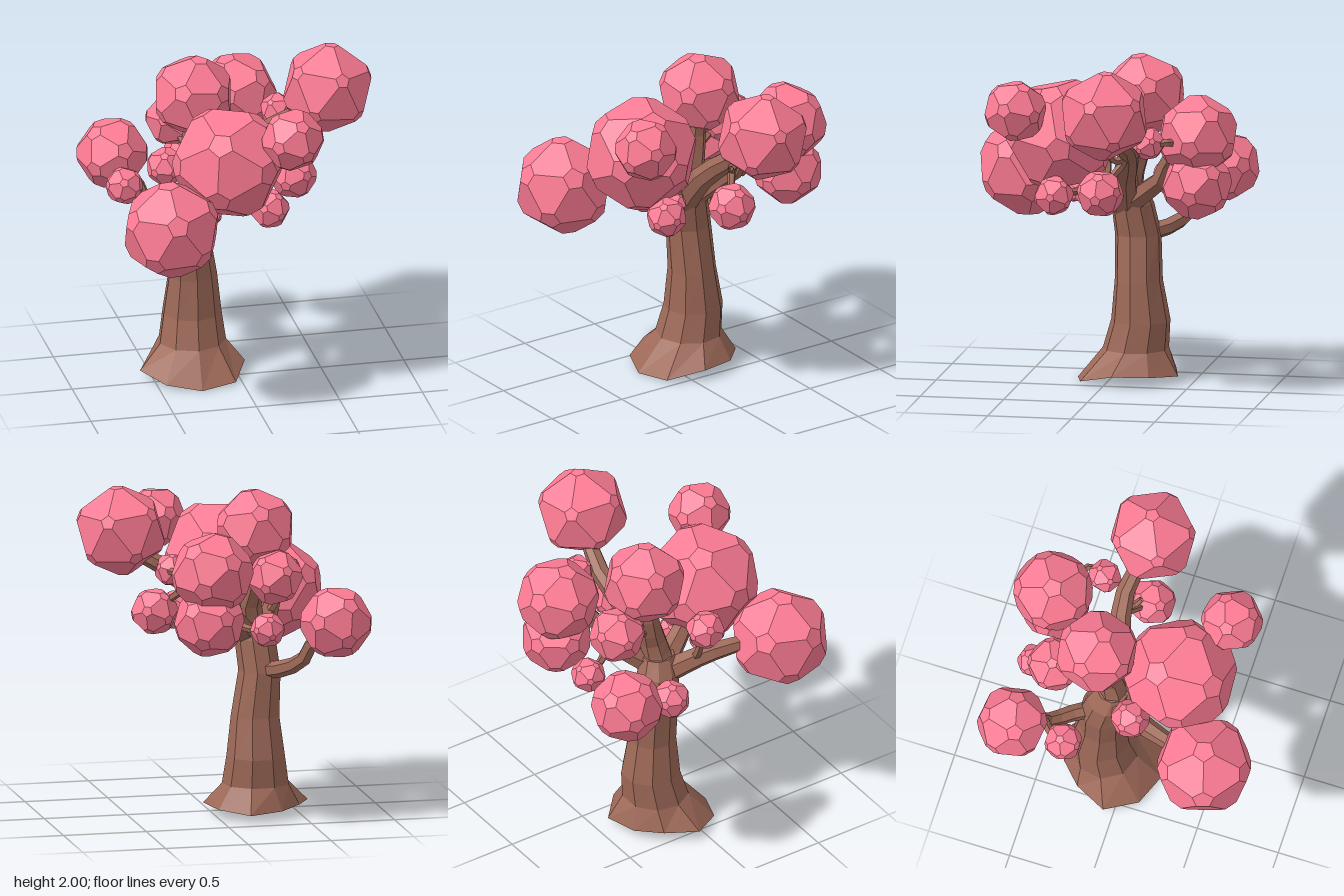
import * as THREE from 'three';
import { ConvexGeometry } from 'three/addons/geometries/ConvexGeometry.js';

const bark = new THREE.MeshStandardMaterial({ color: 0x9e6958, flatShading: true, side: THREE.DoubleSide });
const pink = new THREE.MeshStandardMaterial({ color: 0xff7c95, flatShading: true });

let seed = 7;
const rnd = () => (seed = (seed * 16807) % 2147483647) / 2147483647;

// Truncated icosahedron: each edge gives two corners, 'cut' along from its ends
function clumpGeometry(cut) {
  const g = (1 + Math.sqrt(5)) / 2;
  const ico = [];
  for (const a of [-1, 1]) for (const b of [-g, g]) {
    ico.push(new THREE.Vector3(0, a, b), new THREE.Vector3(a, b, 0), new THREE.Vector3(b, 0, a));
  }
  const pts = [];
  for (const p of ico) for (const q of ico) {
    if (p !== q && p.distanceTo(q) < 2.1) pts.push(p.clone().lerp(q, cut).normalize());
  }
  return new ConvexGeometry(pts);
}

// Faceted branch tapering from r0 to r1 along a curve
function branch(name, points, r0, r1, sides = 6) {
  const curve = new THREE.CatmullRomCurve3(points.map(p => new THREE.Vector3(...p)));
  const steps = points.length + 2;
  const geo = new THREE.TubeGeometry(curve, steps, 1, sides, false);
  const pos = geo.attributes.position;
  const v = new THREE.Vector3();
  for (let i = 0; i < pos.count; i++) {
    const t = Math.floor(i / (sides + 1)) / steps;
    const c = curve.getPointAt(t);
    v.fromBufferAttribute(pos, i).sub(c).multiplyScalar(THREE.MathUtils.lerp(r0, r1, t)).add(c);
    pos.setXYZ(i, v.x, v.y, v.z);
  }
  geo.computeVertexNormals();
  const mesh = new THREE.Mesh(geo, bark);
  mesh.name = name;
  return mesh;
}

// Nine-sided trunk with a flared, uneven foot; rows are [y, centre x, centre z, radius x, radius z]
function makeTrunk() {
  const rows = [
    [0.035, -0.26, -0.115, 0.31, 0.315],
    [0.19, -0.245, -0.15, 0.2, 0.195],
    [0.36, -0.24, -0.18, 0.175, 0.175],
    [0.6, -0.238, -0.168, 0.145, 0.142],
    [0.87, -0.265, -0.16, 0.125, 0.138],
    [1.06, -0.245, -0.13, 0.123, 0.127],
    [1.16, -0.22, -0.11, 0.09, 0.1],
  ];
  // Reach and lift of each root, counted from the front round through the left
  const reach = [1, 1.08, 1.03, 1, 1.03, 0.87, 0.84, 1.04, 1];
  const lift = [-0.035, -0.02, 0.03, 0.025, 0.01, 0.02, 0.03, 0.02, -0.01];
  const geo = new THREE.CylinderGeometry(1, 1, 1, 9, rows.length - 1);
  const pos = geo.attributes.position;
  for (let i = 0; i < pos.count; i++) {
    const row = Math.round((pos.getY(i) + 0.5) * (rows.length - 1));
    const [y, cx, cz, rx, rz] = rows[row];
    const x = pos.getX(i), z = pos.getZ(i);
    const side = (Math.round(Math.atan2(x, z) / (Math.PI * 2 / 9)) + 9) % 9;
    const rim = Math.hypot(x, z) > 0.5;
    const lobe = row === 0 ? reach[side] : 1.01;
    const dy = row === 0 && rim ? lift[side] : 0;
    pos.setXYZ(i, cx + x * rx * lobe, y + dy, cz + z * rz * lobe);
  }
  geo.computeVertexNormals();
  const mesh = new THREE.Mesh(geo, bark);
  mesh.name = 'trunk';
  return mesh;
}

export function createModel() {
  const tree = new THREE.Group();
  tree.name = 'blossomTree';
  tree.add(makeTrunk());

  // Main branches
  const branches = new THREE.Group();
  branches.name = 'branches';
  branches.add(
    branch('leftBranch', [[-0.22, 1.04, -0.1], [-0.06, 1.25, -0.12], [0.1, 1.39, -0.17], [0.28, 1.5, -0.19], [0.5, 1.62, -0.13]], 0.085, 0.045, 7),
    branch('lowBackBranch', [[-0.25, 0.87, -0.17], [-0.35, 0.9, -0.32], [-0.46, 0.97, -0.43], [-0.51, 1.09, -0.49], [-0.6, 1.18, -0.58]], 0.055, 0.038),
    branch('backBranch', [[-0.2, 1.06, -0.12], [-0.13, 1.16, -0.24], [-0.06, 1.24, -0.34], [-0.02, 1.38, -0.4], [0.1, 1.55, -0.56]], 0.07, 0.045),
    branch('topBranch', [[-0.23, 1.08, -0.1], [-0.2, 1.25, -0.13], [-0.23, 1.42, -0.18], [-0.22, 1.65, -0.2]], 0.095, 0.05, 7),
    branch('frontBranch', [[-0.22, 1.06, -0.08], [-0.17, 1.17, 0.06], [-0.14, 1.35, 0.2]], 0.08, 0.045),
    branch('rightBranch', [[-0.27, 1.05, -0.08], [-0.37, 1.15, 0.1], [-0.45, 1.2, 0.3], [-0.5, 1.22, 0.45]], 0.075, 0.04),
  );

  // Thin twigs to the small clumps
  const twigs = [
    [[0.2, 1.45, -0.18], [0.2, 1.37, -0.15], [0.25, 1.32, -0.11], [0.32, 1.25, -0.06]],
    [[0.18, 1.43, -0.18], [0.24, 1.4, -0.12], [0.27, 1.43, -0.09]],
    [[0.2, 1.52, -0.5], [0.32, 1.54, -0.45], [0.34, 1.53, -0.35]],
    [[-0.21, 1.35, -0.16], [-0.27, 1.4, -0.3], [-0.29, 1.46, -0.42]],
    [[-0.05, 1.24, -0.34], [-0.12, 1.18, -0.45], [-0.2, 1.21, -0.58]],
    [[-0.49, 1.04, -0.45], [-0.57, 1.07, -0.38], [-0.62, 1.15, -0.3]],
    [[-0.35, 1.13, 0.06], [-0.42, 1.25, 0.05], [-0.44, 1.38, 0.07]],
    [[-0.18, 1.15, 0.04], [-0.04, 1.16, 0.14], [0.12, 1.16, 0.26]],
    [[-0.05, 1.55, 0.35], [0.08, 1.6, 0.4], [0.2, 1.66, 0.47]],
  ];
  twigs.forEach((p, i) => branches.add(branch('twig' + (i + 1), p, 0.028, 0.019, 5)));
  tree.add(branches);

  // Blossom clumps: x, y, z, radius
  const clumps = [
    [0.565, 1.735, -0.115, 0.262], [-0.122, 1.478, 0.275, 0.328], [-0.525, 1.2, 0.55, 0.285],
    [0.222, 1.677, 0.483, 0.18], [-0.222, 1.72, -0.21, 0.238], [0.12, 1.55, -0.59, 0.237],
    [-0.622, 1.225, -0.605, 0.208], [0.14, 1.26, -0.59, 0.203], [0.345, 1.225, -0.05, 0.136],
    [-0.29, 1.48, -0.45, 0.16], [-0.45, 1.4, 0.07, 0.113], [-0.21, 1.2, -0.6, 0.1],
    [-0.62, 1.145, -0.29, 0.11], [0.13, 1.16, 0.27, 0.115], [0.31, 1.53, -0.33, 0.097],
    [-0.03, 1.14, 0.1, 0.07], [-0.2, 1.12, 0.2, 0.06],
  ];
  const foliage = new THREE.Group();
  foliage.name = 'foliage';
  clumps.forEach(([x, y, z, r], i) => {
    const clump = new THREE.Mesh(clumpGeometry(0.17 + 0.08 * rnd()), pink);
    clump.name = 'blossomClump' + (i + 1);
    clump.position.set(x, y, z);
    clump.rotation.set(rnd() * 6, rnd() * 6, rnd() * 6);
    clump.scale.setScalar(r * 1.02);
    foliage.add(clump);
  });
  tree.add(foliage);
  return tree;
}
